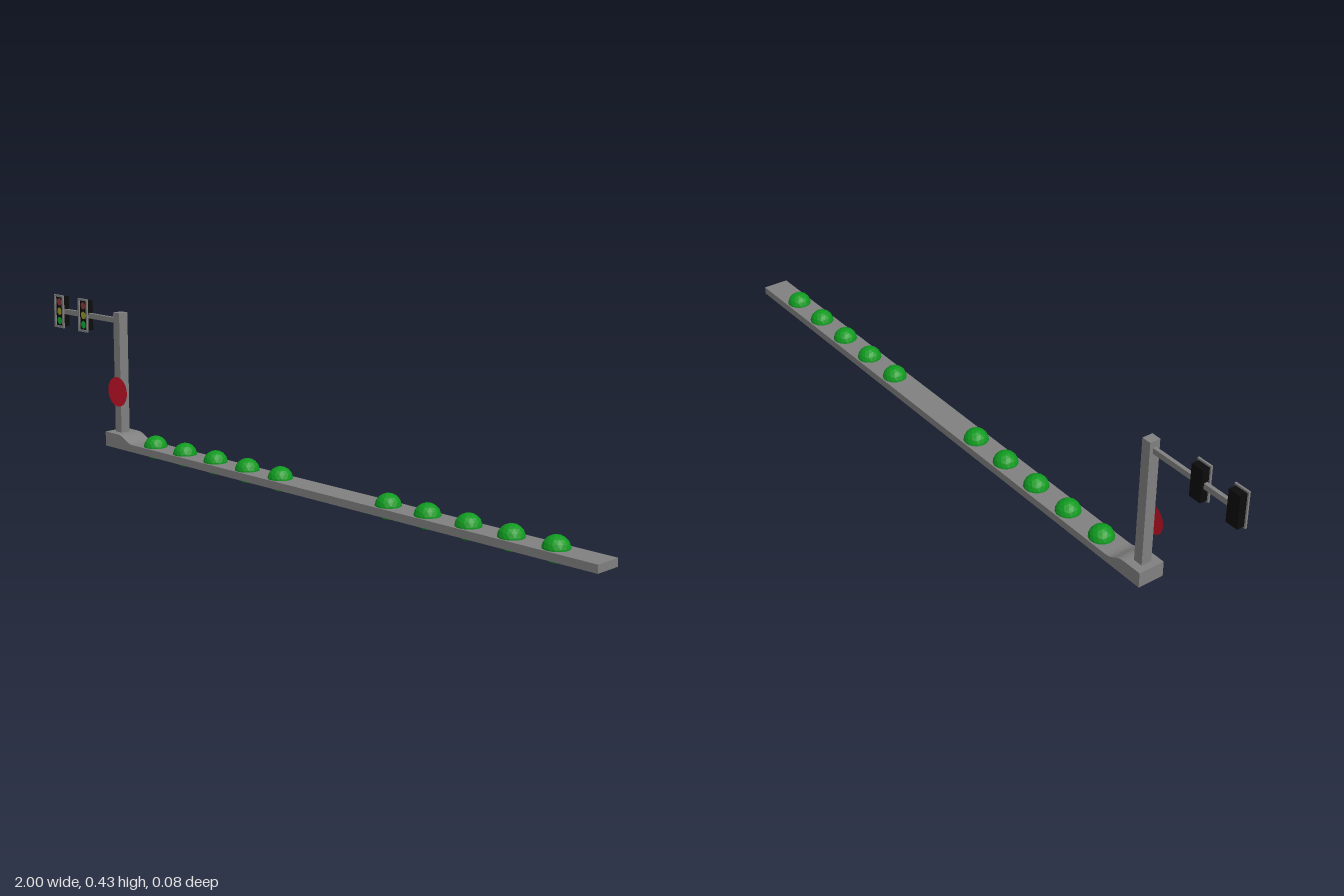
import * as THREE from 'three';

const paint = (color, extra = {}) => new THREE.MeshStandardMaterial({ color, ...extra });
const grey = paint(0x808080);
const black = paint(0x0c0c0c);
const green = paint(0x109a20, { flatShading: true });
const red = paint(0xc81428, { side: THREE.DoubleSide });
const lampColors = [0x8c3a3a, 0x9a9a2a, 0x10b030].map((c) => paint(c));

function add(parent, name, geometry, material, x = 0, y = 0, z = 0) {
  const mesh = new THREE.Mesh(geometry, material);
  mesh.name = name;
  mesh.position.set(x, y, z);
  parent.add(mesh);
  return mesh;
}

// Long slab whose left end swells into a raised foot
function baseGeometry() {
  const s = new THREE.Shape();
  s.moveTo(-0.733, 0.015);
  s.lineTo(1, 0.015);
  s.lineTo(1, 0.036);
  s.lineTo(-0.61, 0.036);
  s.bezierCurveTo(-0.64, 0.036, -0.645, 0.057, -0.678, 0.057);
  s.lineTo(-0.733, 0.057);
  s.closePath();
  const g = new THREE.ExtrudeGeometry(s, { depth: 0.075, bevelEnabled: false, curveSegments: 8 });
  return g.translate(0, 0, -0.0375);
}

// Thin rectangular rim around the front of a signal
function rimGeometry(w, h, border, depth) {
  const rect = (path, a, b) => path.moveTo(-a, -b).lineTo(a, -b).lineTo(a, b).lineTo(-a, b).closePath();
  const s = new THREE.Shape();
  rect(s, w / 2, h / 2);
  const hole = new THREE.Path();
  rect(hole, w / 2 - border, h / 2 - border);
  s.holes.push(hole);
  return new THREE.ExtrudeGeometry(s, { depth, bevelEnabled: false });
}

function createSignal() {
  const signal = new THREE.Group();
  signal.name = 'trafficSignal';
  add(signal, 'signalHousing', new THREE.BoxGeometry(0.036, 0.088, 0.021), black, 0, 0, -0.001);
  add(signal, 'signalRim', rimGeometry(0.044, 0.098, 0.006, 0.005), grey, 0, 0, 0.0088);
  lampColors.forEach((m, i) =>
    add(signal, 'signalLamp', new THREE.CircleGeometry(0.011, 20), m, 0, 0.028 - i * 0.028, 0.0105));
  return signal;
}

export function createModel() {
  const model = new THREE.Group();
  model.name = 'signalBarrier';

  add(model, 'base', baseGeometry(), grey);
  add(model, 'pole', new THREE.BoxGeometry(0.027, 0.37, 0.03), grey, -0.7, 0.221, 0.0005);
  add(model, 'arm', new THREE.BoxGeometry(0.28, 0.015, 0.01), grey, -0.84, 0.381, 0);

  // Round sign on the front of the pole
  add(model, 'signDisc', new THREE.CircleGeometry(0.043, 32), red, -0.7, 0.176, 0.0165);

  // Two signals hung on the arm
  for (const x of [-0.978, -0.862]) {
    const signal = createSignal();
    signal.position.set(x, 0.381, 0);
    model.add(signal);
  }

  // Two rows of five balls sunk through the slab, with a gap between
  const ball = new THREE.IcosahedronGeometry(0.034, 2);
  ball.rotateZ(-Math.atan(2 / (1 + Math.sqrt(5))));
  for (let i = 0; i < 12; i++) {
    if (i === 5 || i === 6) continue;
    add(model, 'ball', ball, green, -0.551 + i * 0.1282, 0.034, 0);
  }
  return model;
}
